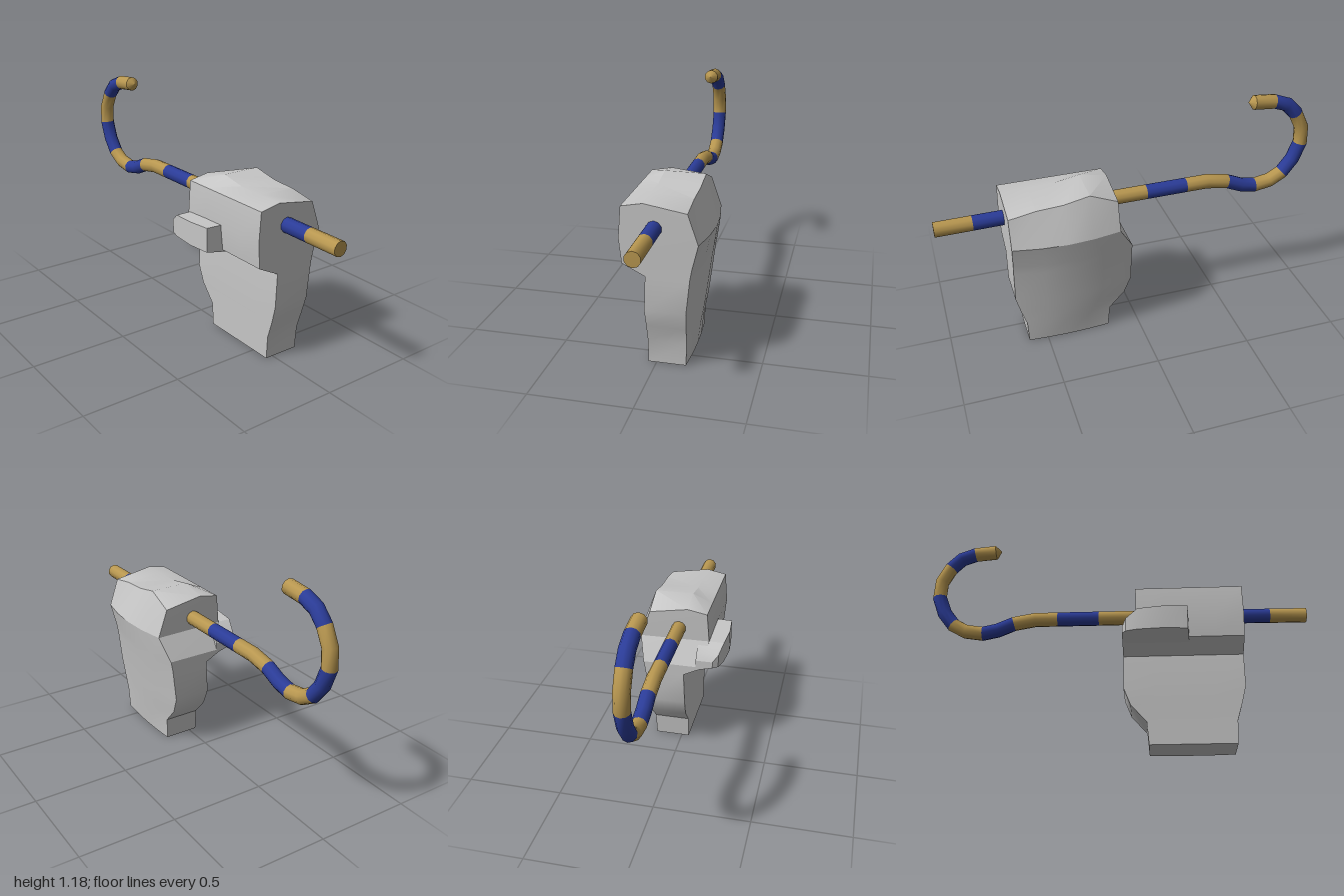
import * as THREE from 'three';
import { toCreasedNormals } from 'three/addons/utils/BufferGeometryUtils.js';

const grey = new THREE.MeshStandardMaterial({ color: 0xc6c6c6 });
grey.name = 'gloveGrey';
const gold = new THREE.MeshStandardMaterial({ color: 0xb89750 });
gold.name = 'caneGold';
const blue = new THREE.MeshStandardMaterial({ color: 0x2b3c98 });
blue.name = 'caneBlue';

function makeGeometry(points, index, crease, groups = []) {
  const geo = new THREE.BufferGeometry();
  geo.setAttribute('position', new THREE.Float32BufferAttribute(points.flat(), 3));
  geo.setIndex(index);
  groups.forEach(g => geo.addGroup(...g));
  return toCreasedNormals(geo, crease);
}

// Joins equal rings of points into a skin
function skin(ringCount, size, index = []) {
  for (let i = 0; i < ringCount - 1; i++) {
    for (let j = 0; j < size; j++) {
      const k = (j + 1) % size;
      const a = i * size + j, b = i * size + k;
      index.push(a, b, b + size, a, b + size, a + size);
    }
  }
  return index;
}

// Rings run left to right along the front, then back along the rear; both ends are capped
function stackedBlock(rings) {
  const size = rings[0].length, top = (rings.length - 1) * size;
  const index = skin(rings.length, size);
  for (let k = 0; k < size / 2 - 1; k++) {
    const a = k, b = k + 1, c = size - 2 - k, d = size - 1 - k;
    index.push(a, c, b, a, d, c);
    index.push(top + a, top + b, top + c, top + a, top + c, top + d);
  }
  return makeGeometry(rings.flat(), index, 0.42);
}

// Fist and wrist: horizontal sections, with the back of the hand bulging
function createFist() {
  const columns = [0, 0.26, 0.5, 0.75, 1];
  const bulge = [0, 0.75, 1, 0.75, 0];
  const knuckle = [0, 1, 0.15, 0.05, 0];
  // front y, back y, front z, back z, x min, x max, back bulge, front lift, back lift
  const rows = [
    [0, 0, 0.04, -0.145, 0.165, 0.6, 0.01, 0, 0],
    [0.12, 0.12, 0.04, -0.15, 0.155, 0.605, 0.02, 0, 0],
    [0.21, 0.21, 0.04, -0.153, 0.075, 0.632, 0.03, 0, 0],
    [0.3, 0.3, 0.042, -0.157, 0.04, 0.655, 0.038, 0, 0],
    [0.475, 0.475, 0.035, -0.175, 0.04, 0.655, 0.043, 0, 0],
    [0.53, 0.53, 0.145, -0.185, 0.04, 0.655, 0.042, 0, 0],
    [0.655, 0.65, 0.157, -0.215, 0.11, 0.658, 0.033, 0, 0],
    [0.81, 0.795, 0.145, -0.165, 0.108, 0.656, 0, 0, 0.06],
    [0.83, 0.796, 0.04, -0.163, 0.108, 0.656, 0, 0.028, 0.06]
  ];
  const rings = rows.map(([fy, by, fz, bz, x0, x1, out, fLift, bLift]) => {
    const x = u => x0 + (x1 - x0) * u;
    const front = columns.map((u, i) => [x(u), fy + fLift * knuckle[i], fz]);
    const back = columns.map((u, i) =>
      [x(u), by + bLift * Math.max(knuckle[i], bulge[i] * 0.55), bz - out * bulge[i]]);
    return front.concat(back.reverse());
  });
  return new THREE.Mesh(stackedBlock(rings), grey);
}

// Thumb folded across the front of the fist
function createThumb() {
  // x, top y, front z
  const outline = [[0.04, 0.57, 0.19], [0.06, 0.605, 0.218], [0.12, 0.65, 0.236],
    [0.25, 0.657, 0.246], [0.37, 0.66, 0.235]];
  const ring = isTop => {
    const front = outline.map(([x, y, z]) => [x, isTop ? y : 0.535, z]);
    const back = outline.map(([x, y], i) => [i === 4 ? 0.38 : x, isTop ? y : 0.512, 0.1]);
    return front.concat(back.reverse());
  };
  return new THREE.Mesh(stackedBlock([ring(false), ring(true)]), grey);
}

// Hooked cane with alternating bands
function createCane() {
  const sides = 10, radius = 0.038;
  // x, y, and 1 where a new band begins
  const path = [[1, 0.712, 1], [0.999, 0.712], [0.81, 0.713, 1], [0.5, 0.715, 1], [0.11, 0.718],
    [-0.09, 0.718, 1], [-0.31, 0.718, 1], [-0.43, 0.718], [-0.545, 0.697, 1], [-0.63, 0.66],
    [-0.71, 0.643, 1], [-0.8, 0.657], [-0.87, 0.697, 1], [-0.925, 0.77], [-0.96, 0.865, 1],
    [-0.955, 0.96], [-0.912, 1.045, 1], [-0.855, 1.103], [-0.78, 1.131, 1],
    [-0.665, 1.142], [-0.635, 1.146]];
  const last = path.length - 1;
  const points = [];
  path.forEach(([x, y], i) => {
    const a = path[Math.max(i - 1, 0)], b = path[Math.min(i + 1, last)];
    const t = new THREE.Vector2(b[0] - a[0], b[1] - a[1]).normalize();
    const r = i === 0 || i === last ? 0 : radius;
    const z = -0.006 - 0.006 * x;
    for (let j = 0; j < sides; j++) {
      const angle = j / sides * Math.PI * 2;
      const c = Math.cos(angle) * r;
      points.push([x - t.y * c, y + t.x * c, z + Math.sin(angle) * r]);
    }
  });
  const starts = path.map((p, i) => p[2] ? i : -1).filter(i => i >= 0).concat(last);
  const groups = starts.slice(0, -1).map((s, i) =>
    [s * sides * 6, (starts[i + 1] - s) * sides * 6, i % 2]);
  return new THREE.Mesh(makeGeometry(points, skin(path.length, sides), 0.8, groups), [gold, blue]);
}

export function createModel() {
  const model = new THREE.Group();
  model.name = 'handHoldingCane';
  const parts = { fist: createFist(), thumb: createThumb(), cane: createCane() };
  for (const [name, mesh] of Object.entries(parts)) {
    mesh.name = name;
    model.add(mesh);
  }
  return model;
}
